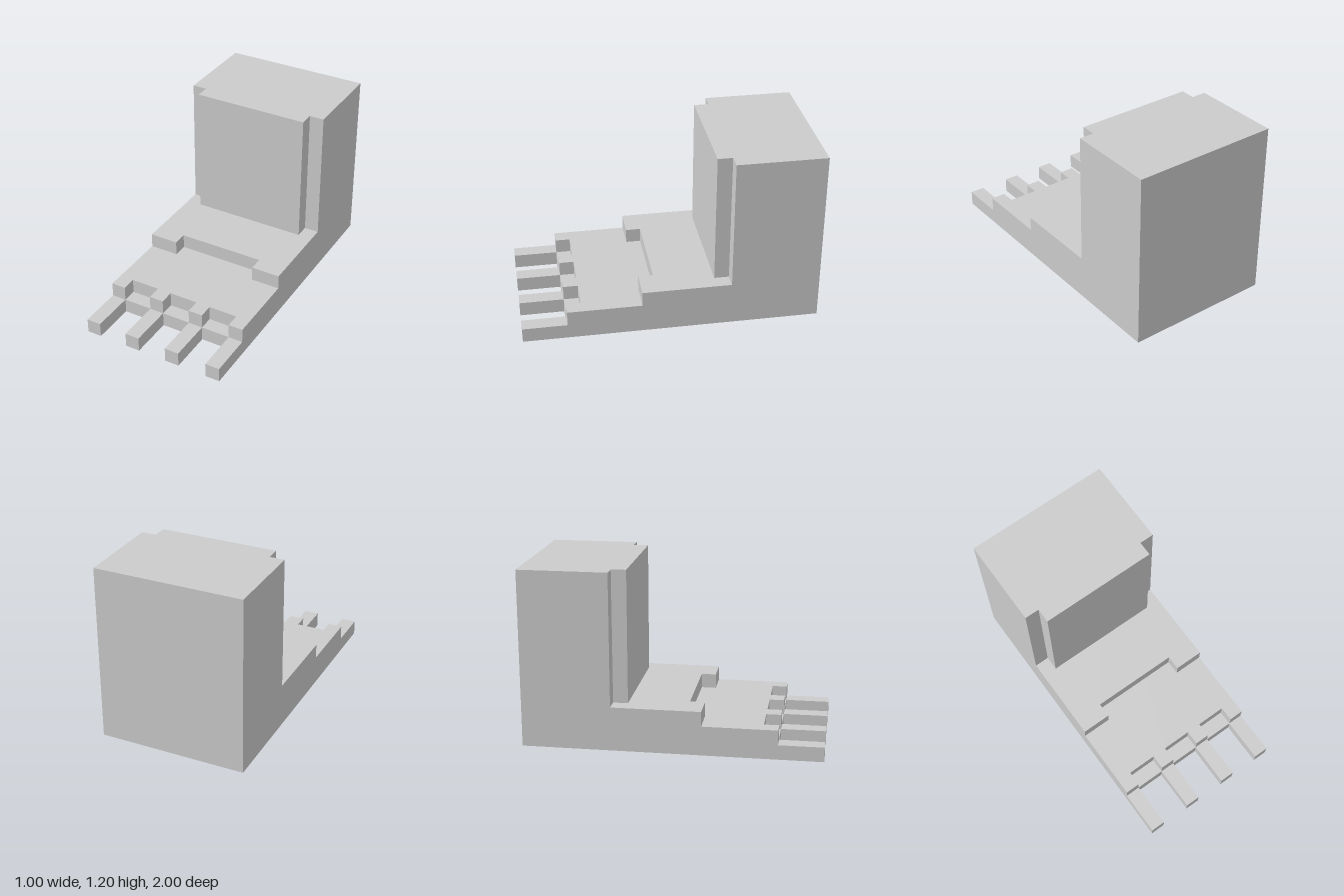
import * as THREE from 'three';

const HALF = 0.5;
const BACK = -1;
const material = new THREE.MeshStandardMaterial({ color: 0xcccccc, flatShading: true });

// One horizontal slab: straight back and sides, stepped front edge.
// steps: [xStart, xEnd, frontZ] from -x to +x.
function slab(name, bottom, height, steps) {
  const shape = new THREE.Shape();
  shape.moveTo(HALF, -BACK);
  shape.lineTo(-HALF, -BACK);
  for (const [x0, x1, z] of steps) {
    shape.lineTo(x0, -z);
    shape.lineTo(x1, -z);
  }
  shape.closePath();
  const geometry = new THREE.ExtrudeGeometry(shape, { depth: height, bevelEnabled: false });
  geometry.rotateX(-Math.PI / 2);
  geometry.translate(0, bottom, 0);
  const mesh = new THREE.Mesh(geometry, material);
  mesh.name = name;
  return mesh;
}

// Front edge with four teeth reaching toothZ and gaps set back to gapZ
function toothed(gapZ, toothZ) {
  const edges = [-0.5, -0.4, -0.2, -0.1, 0.1, 0.2, 0.4, 0.5];
  return edges.slice(0, -1).map((x, i) => [x, edges[i + 1], i % 2 ? gapZ : toothZ]);
}

// Front edge whose middle sits at a different depth than its sides
function stepped(innerX, sideZ, middleZ) {
  return [[-HALF, -innerX, sideZ], [-innerX, innerX, middleZ], [innerX, HALF, sideZ]];
}

export function createModel() {
  const group = new THREE.Group();
  group.name = 'steppedBlock';
  group.add(
    slab('toeBase', 0, 0.1, toothed(0.7, 1)),
    slab('knuckleStep', 0.1, 0.1, toothed(0.6, 0.7)),
    slab('upperStep', 0.2, 0.1, stepped(0.3, 0.2, 0.1)),
    slab('tower', 0.3, 0.9, stepped(0.4, -0.4, -0.3)),
  );
  return group;
}
